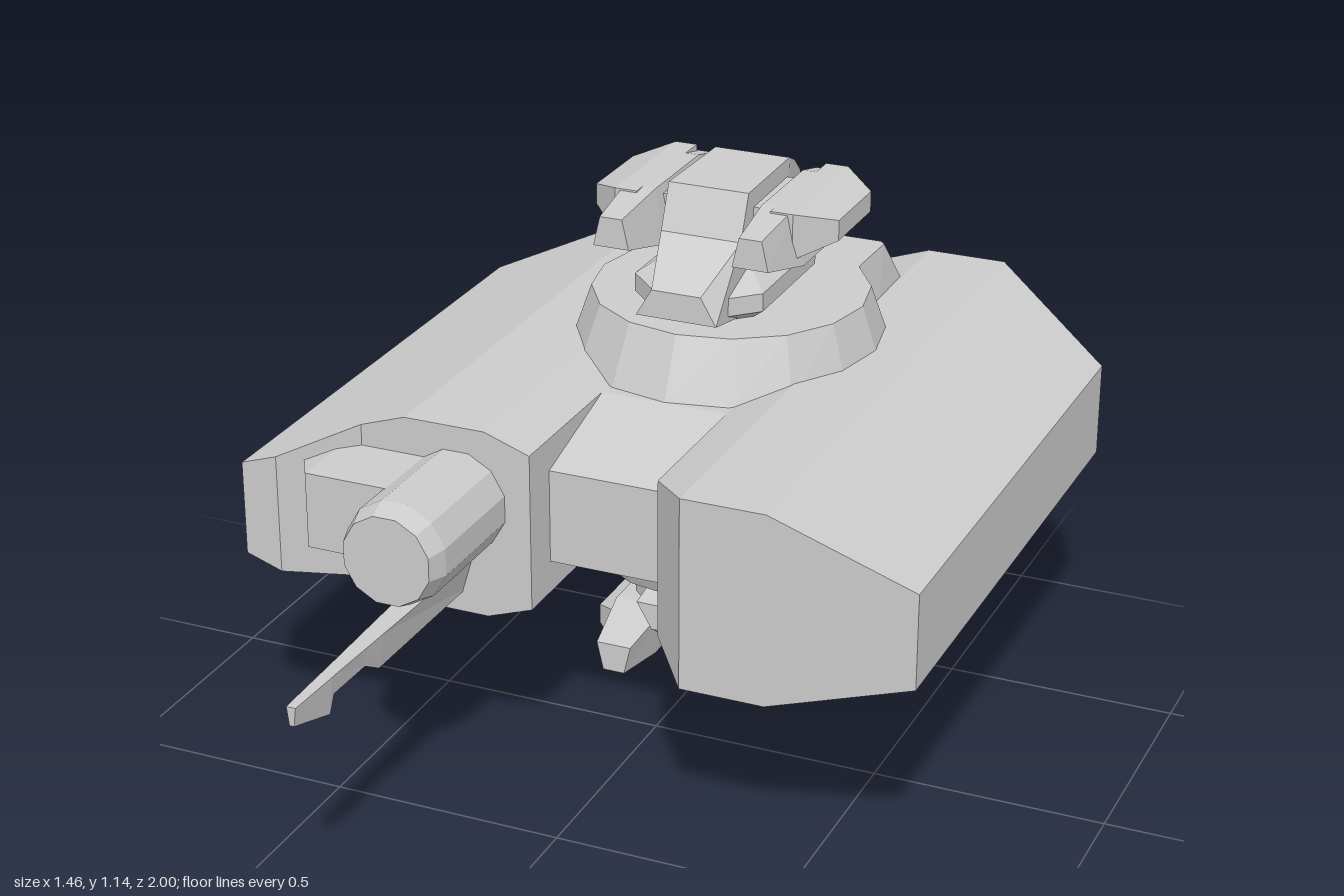
import * as THREE from 'three';

const MID = 0.57; // height of the horizontal mirror plane

// Skins equal-length rings of [x, y, z] points, caps both ends and turns faces outward.
function loft(rings) {
  const tris = [];
  const n = rings[0].length;
  for (let i = 0; i + 1 < rings.length; i++) {
    for (let j = 0; j < n; j++) {
      const k = (j + 1) % n;
      const [a, b, c, d] = [rings[i][j], rings[i][k], rings[i + 1][k], rings[i + 1][j]];
      tris.push([a, b, c], [a, c, d]);
    }
  }
  const cap = (ring, flip) => {
    const mid = [0, 1, 2].map(ax => ring.reduce((s, p) => s + p[ax], 0) / n);
    ring.forEach((p, j) => {
      const q = ring[(j + 1) % n];
      tris.push(flip ? [mid, q, p] : [mid, p, q]);
    });
  };
  cap(rings[0], true);
  cap(rings[rings.length - 1], false);
  let volume = 0;
  const v = p => new THREE.Vector3(...p);
  tris.forEach(([a, b, c]) => { volume += v(a).dot(v(b).cross(v(c))); });
  if (volume < 0) tris.forEach(t => t.reverse());
  const geo = new THREE.BufferGeometry();
  geo.setAttribute('position', new THREE.Float32BufferAttribute(tris.flat(2), 3));
  geo.computeVertexNormals();
  return geo;
}

// Rectangle across x: [x, yLow, yHigh, zBack, zFront]
const acrossX = ([x, y0, y1, z0, z1]) => [[x, y0, z0], [x, y0, z1], [x, y1, z1], [x, y1, z0]];
// Trapezoid across z: [z, yLow, yHigh, half width low, half width high], centred on cx
const acrossZ = cx => ([z, y0, y1, w0, w1]) =>
  [[cx - w0, y0, z], [cx + w0, y0, z], [cx + w1, y1, z], [cx - w1, y1, z]];
const flipX = rings => rings.map(r => r.map(([x, y, z]) => [-x, y, z]));
const flipY = rings => rings.map(r => r.map(([x, y, z]) => [x, 2 * MID - y, z]));

export function createModel() {
  const model = new THREE.Group();
  const material = new THREE.MeshStandardMaterial({ color: 0xcccccc, flatShading: true });
  const add = (name, geo, parent = model) => {
    const mesh = new THREE.Mesh(geo, material);
    mesh.name = name;
    parent.add(mesh);
    return mesh;
  };

  // Side hulls; the right one has a recessed front for the gun
  add('leftHull', loft([
    [0.14, 0.4, 0.745, -1, 0.31],
    [0.24, 0.365, 0.78, -1, 0.435],
    [0.42, 0.365, 0.78, -1, 0.435],
    [0.73, 0.47, 0.675, -0.75, 0.435],
  ].map(acrossX)));
  add('rightHull', loft([
    [-0.14, 0.4, 0.745, -1, 0.31],
    [-0.24, 0.365, 0.78, -1, 0.31],
    [-0.42, 0.365, 0.78, -1, 0.31],
    [-0.52, 0.4, 0.746, -0.92, 0.31],
    [-0.65, 0.443, 0.702, -0.815, 0.435],
    [-0.73, 0.47, 0.675, -0.75, 0.435],
  ].map(acrossX)));

  // Bridge between the hulls
  add('centreBlock', loft([
    [0.22, 0.47, 0.675, 0.14, 0.14],
    [-0.04, 0.4, 0.745, 0.14, 0.14],
    [-0.8, 0.4, 0.745, 0.14, 0.14],
  ].map(acrossZ(0))));

  // Round turret base with a squared tail, bevelled above and below
  const baseOutline = (y, rx, rz, tailX, tailZ, cut) => {
    const pts = [];
    for (let k = -6; k <= 6; k++) {
      const a = k * Math.PI / 8;
      pts.push([rx * Math.sin(a), y, -0.4 + rz * Math.cos(a)]);
    }
    pts.push([tailX, y, tailZ + cut], [tailX - cut, y, tailZ],
      [cut - tailX, y, tailZ], [-tailX, y, tailZ + cut]);
    return pts;
  };
  add('turretBase', loft([
    baseOutline(0.265, 0.3, 0.3, 0.215, -0.775, 0.012),
    baseOutline(0.4, 0.345, 0.36, 0.24, -0.89, 0.04),
    baseOutline(0.74, 0.345, 0.36, 0.24, -0.89, 0.04),
    baseOutline(0.875, 0.3, 0.3, 0.215, -0.775, 0.012),
  ]));

  // Turret head parts, used upright on top and mirrored below
  const collarRing = (y, hx, z0, z1) => {
    const c = 0.08;
    return [[hx, y, z0 + c], [hx, y, z1 - c], [hx - c, y, z1], [c - hx, y, z1],
      [-hx, y, z1 - c], [-hx, y, z0 + c], [c - hx, y, z0], [hx - c, y, z0]];
  };
  const collar = [
    collarRing(0.865, 0.1, -0.53, -0.19),
    collarRing(0.905, 0.145, -0.6, -0.14),
    collarRing(0.945, 0.145, -0.6, -0.14),
    collarRing(0.975, 0.1, -0.58, -0.19),
  ];
  const head = [
    [-0.1, 0.905, 0.965, 0.09, 0.055],
    [-0.23, 0.88, 1.045, 0.09, 0.09],
    [-0.27, 0.88, 1.14, 0.09, 0.09],
    [-0.51, 0.9, 1.14, 0.085, 0.085],
    [-0.58, 0.93, 1.11, 0.07, 0.07],
    [-0.655, 0.965, 1.06, 0.055, 0.055],
  ].map(acrossZ(0));
  const pod = [
    [-0.12, 1.035, 1.1, 0.04, 0.025],
    [-0.27, 1.0, 1.12, 0.06, 0.035],
    [-0.5, 1.0, 1.12, 0.06, 0.035],
    [-0.58, 1.02, 1.1, 0.045, 0.035],
  ].map(acrossZ(0.155));
  const podWing = [
    [0.15, 1.01, 1.12, -0.56, -0.24],
    [0.2, 1.02, 1.12, -0.56, -0.24],
    [0.275, 1.05, 1.095, -0.5, -0.31],
  ].map(acrossX);
  const strut = [
    [0.06, 1.02, 1.1, -0.5, -0.3],
    [0.14, 1.02, 1.1, -0.5, -0.3],
  ].map(acrossX);

  for (const [name, place] of [['upperTurret', r => r], ['lowerTurret', flipY]]) {
    const turret = new THREE.Group();
    turret.name = name;
    model.add(turret);
    add('collar', loft(place(collar)), turret);
    add('head', loft(place(head)), turret);
    for (const [side, mirror] of [['left', r => r], ['right', flipX]]) {
      add(side + 'Pod', loft(place(mirror(pod))), turret);
      add(side + 'PodWing', loft(place(mirror(podWing))), turret);
      add(side + 'PodStrut', loft(place(mirror(strut))), turret);
    }
  }

  // Small lugs under the hulls beside the turret base
  const lug = [
    [0.25, 0.27, 0.4, -0.56, -0.22],
    [0.385, 0.32, 0.4, -0.52, -0.26],
    [0.42, 0.365, 0.4, -0.52, -0.26],
  ].map(acrossX);
  add('leftLug', loft(lug));
  add('rightLug', loft(flipX(lug)));

  // Gun housing: side box and twelve-sided drum with a bevelled front
  add('gunBox', loft([
    [-0.61, 0.55, 0.685, 0.28, 0.39],
    [-0.56, 0.535, 0.7, 0.28, 0.475],
    [-0.34, 0.535, 0.7, 0.28, 0.475],
  ].map(acrossX)));
  const drum = new THREE.LatheGeometry(
    [[0, 0], [0.112, 0], [0.112, 0.29], [0.097, 0.335], [0, 0.335]]
      .map(p => new THREE.Vector2(...p)), 12);
  drum.rotateX(Math.PI / 2).rotateZ(Math.PI / 12).translate(-0.305, 0.617, 0.28);
  add('gunDrum', drum);

  // Long blade-like barrel, wedge-shaped in section
  add('barrel', loft([
    [0.28, 0.41, 0.49, 0.008, 0.032],
    [0.67, 0.41, 0.49, 0.006, 0.02],
    [0.73, 0.445, 0.49, 0.009, 0.018],
    [0.85, 0.445, 0.49, 0.007, 0.014],
    [0.865, 0.407, 0.49, 0.005, 0.014],
    [1.0, 0.45, 0.49, 0.005, 0.01],
  ].map(acrossZ(-0.305))));

  return model;
}
